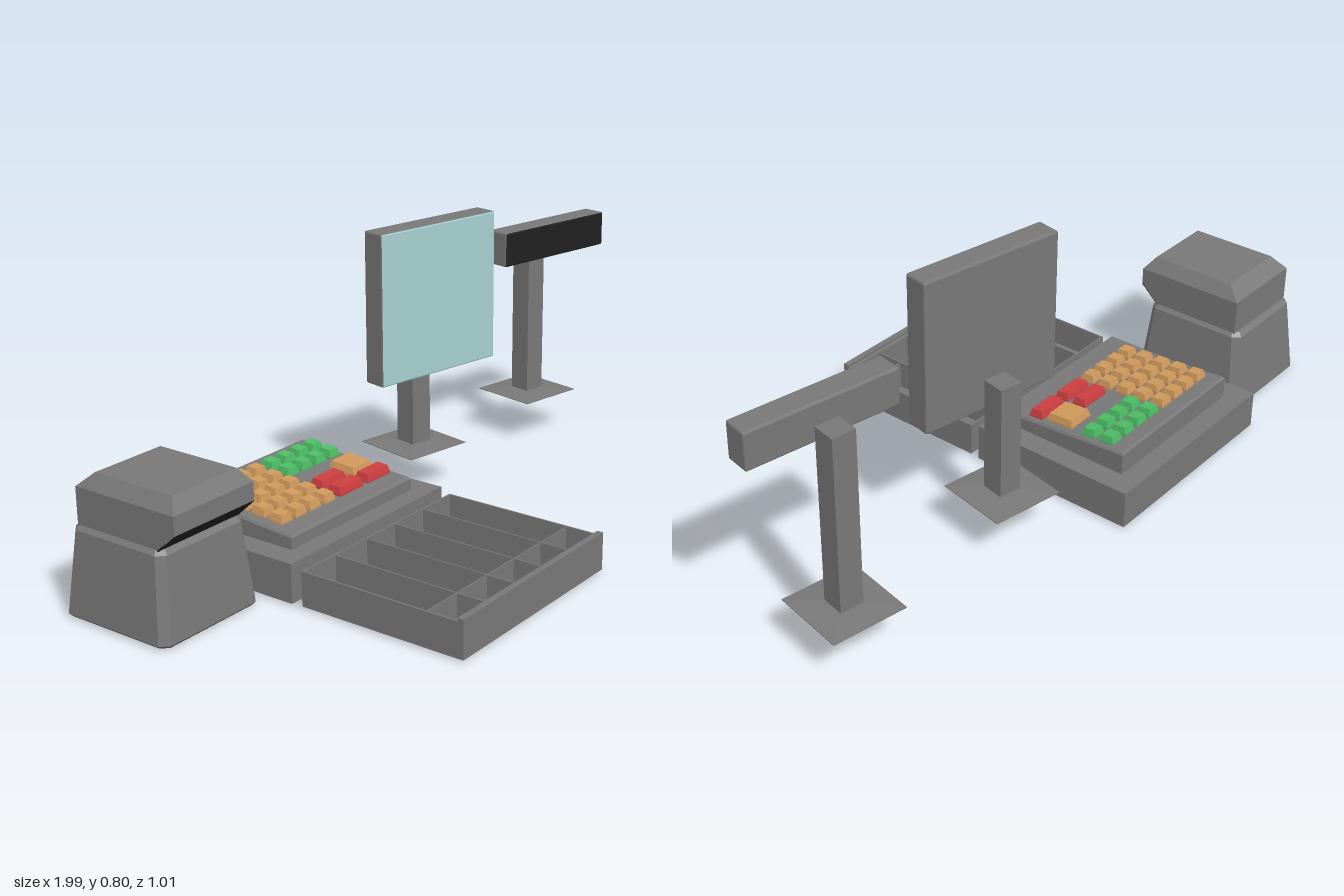
import * as THREE from 'three';
import { RoundedBoxGeometry } from 'three/addons/geometries/RoundedBoxGeometry.js';

const mat = (name, color) => {
  const m = new THREE.MeshStandardMaterial({ color });
  m.name = name;
  return m;
};

// Rectangle or chamfered rectangle seen from above; y is a number or a function of z
function ring(x0, x1, z0, z1, y, c = 0) {
  const pts = c
    ? [[x1, z1 - c], [x1, z0 + c], [x1 - c, z0], [x0 + c, z0], [x0, z0 + c], [x0, z1 - c], [x0 + c, z1], [x1 - c, z1]]
    : [[x1, z1], [x1, z0], [x0, z0], [x0, z1]];
  return pts.map(([x, z]) => [x, typeof y === 'function' ? y(z) : y, z]);
}

// Closed flat-faced solid through rings listed from bottom to top
function loft(rings) {
  const pos = [];
  const n = rings[0].length;
  const tri = (a, b, c) => pos.push(...a, ...b, ...c);
  for (let r = 0; r + 1 < rings.length; r++) {
    const a = rings[r], b = rings[r + 1];
    for (let i = 0; i < n; i++) {
      const j = (i + 1) % n;
      tri(a[i], a[j], b[j]);
      tri(a[i], b[j], b[i]);
    }
  }
  const low = rings[0], top = rings[rings.length - 1];
  for (let i = 1; i + 1 < n; i++) {
    tri(low[0], low[i + 1], low[i]);
    tri(top[0], top[i], top[i + 1]);
  }
  const g = new THREE.BufferGeometry();
  g.setAttribute('position', new THREE.Float32BufferAttribute(pos, 3));
  g.computeVertexNormals();
  return g;
}

export function createModel() {
  const grey = mat('casing grey', 0x787878);
  const black = mat('dark panel', 0x202020);
  const teal = mat('screen teal', 0xa6cfcf);
  const orange = mat('key orange', 0xcf985a);
  const green = mat('key green', 0x4cbb64);
  const red = mat('key red', 0xcc3e40);

  const model = new THREE.Group();
  model.name = 'cashRegister';
  const group = (name) => {
    const g = new THREE.Group();
    g.name = name;
    model.add(g);
    return g;
  };
  const add = (parent, name, geo, material) => {
    const m = new THREE.Mesh(geo, material);
    m.name = name;
    parent.add(m);
    return m;
  };
  const block = (parent, name, x0, x1, y0, y1, z0, z1, material = grey) =>
    add(parent, name, loft([ring(x0, x1, z0, z1, y0), ring(x0, x1, z0, z1, y1)]), material);

  // Till housing
  block(model, 'tillHousing', -0.632, -0.004, 0.005, 0.112, -0.505, -0.01);

  // Open cash drawer with thin dividers and a front lip
  const drawer = group('drawer');
  const dx0 = -0.628, dx1 = -0.008, w = 0.005;
  block(drawer, 'drawerFloor', dx0, dx1, 0.005, 0.015, 0.02, 0.505);
  block(drawer, 'drawerBack', dx0, dx1, 0.015, 0.1, 0.02, 0.02 + w);
  block(drawer, 'drawerFront', dx0, dx1, 0.015, 0.1, 0.477, 0.505);
  block(drawer, 'drawerLip', dx0, dx1, 0.1, 0.109, 0.488, 0.505);
  for (const x of [dx0, dx1 - w]) block(drawer, 'drawerSide', x, x + w, 0.015, 0.1, 0.025, 0.477);
  for (const x of [-0.502, -0.376, -0.258, -0.135])
    block(drawer, 'drawerDivider', x, x + 0.004, 0.015, 0.098, 0.025, 0.477);
  block(drawer, 'coinDivider', dx0 + w, dx1 - w, 0.015, 0.097, 0.393, 0.397);

  // Sloping keyboard
  const deck = (lift) => (z) => 0.147 + lift + (-0.065 - z) * 0.076;
  const keyboard = group('keyboard');
  add(keyboard, 'keyboardBody', loft([
    ring(-0.565, -0.07, -0.446, -0.065, 0.112),
    ring(-0.565, -0.07, -0.446, -0.065, deck(-0.004)),
    ring(-0.56, -0.075, -0.441, -0.07, deck(0.002)),
  ]), grey);
  const key = (x, z, wide, deep, material) => {
    const a = wide / 2, b = deep / 2, t = 0.005;
    add(keyboard, 'key', loft([
      ring(x - a, x + a, z - b, z + b, deck(0)),
      ring(x - a, x + a, z - b, z + b, deck(0.006)),
      ring(x - a + t, x + a - t, z - b + t, z + b - t, deck(0.025)),
    ]), material);
  };
  const rows = [-0.379, -0.32, -0.262, -0.203, -0.144];
  for (const z of rows)
    for (const x of [-0.513, -0.457, -0.4, -0.343]) key(x, z, 0.043, 0.043, orange);
  for (const z of rows.slice(0, 2))
    for (const x of [-0.281, -0.224, -0.167, -0.109]) key(x, z, 0.043, 0.043, green);
  key(-0.252, rows[3], 0.098, 0.043, red);
  key(-0.252, rows[4], 0.098, 0.043, red);
  key(-0.136, rows[4], 0.098, 0.043, red);
  key(-0.136, -0.219, 0.084, 0.084, orange);

  // Receipt printer: tapered body, overhanging head, dark paper slot
  const printer = group('printer');
  add(printer, 'printerBody', loft([
    ring(-0.988, -0.671, -0.421, -0.094, 0, 0.018),
    ring(-0.998, -0.661, -0.431, -0.084, 0.01, 0.022),
    ring(-0.976, -0.683, -0.408, -0.104, 0.228, 0.02),
    ring(-0.966, -0.693, -0.398, -0.114, 0.239, 0.016),
  ]), grey);
  add(printer, 'printerHead', loft([
    ring(-0.965, -0.693, -0.39, -0.124, 0.236),
    ring(-0.965, -0.693, -0.39, -0.067, 0.288),
    ring(-0.965, -0.693, -0.39, -0.067, 0.337),
    ring(-0.938, -0.72, -0.348, -0.094, 0.374),
  ]), grey);
  add(printer, 'paperSlot', loft([
    ring(-0.965, -0.693, -0.128, -0.122, 0.236),
    ring(-0.965, -0.693, -0.071, -0.065, 0.288),
  ]), black);

  // Turned panel on a post with a shallow pyramid foot
  const display = (name, x, y0, y1, postTop, face) => {
    const g = group(name);
    g.position.set(x, 0, -0.257);
    g.rotation.y = -0.187;
    const geo = new RoundedBoxGeometry(0.425, y1 - y0, 0.071, 1, 0.005);
    geo.computeVertexNormals();
    const panel = add(g, name + 'Panel', geo, [grey, grey, grey, grey, face, grey]);
    panel.position.set(0, (y0 + y1) / 2, 0.076);
    const s = 0.033, f = 0.106;
    block(g, name + 'Post', -s, s, 0.13, postTop, -s, s);
    add(g, name + 'Foot', loft([
      ring(-f, f, -f, f, 0.127),
      ring(-f, f, -f, f, 0.129),
      ring(-s, s, -s, s, 0.136),
    ]), grey);
  };
  display('monitor', 0.2, 0.367, 0.796, 0.46, teal);
  display('customerDisplay', 0.795, 0.581, 0.684, 0.63, black);

  return model;
}
